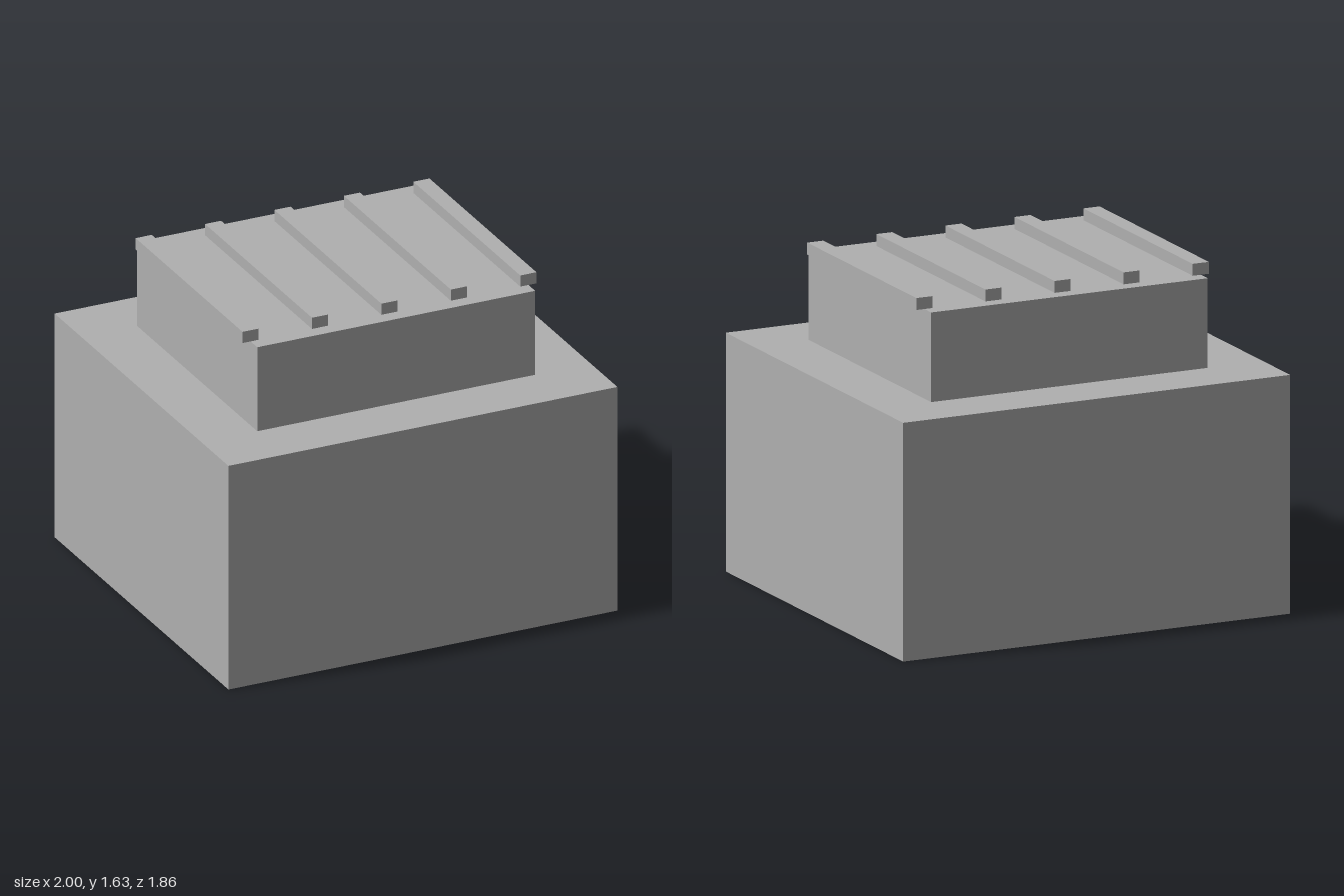
import * as THREE from 'three';

// Box shell without its underside, standing on y = 0
function openBox(width, height, depth) {
  const geometry = new THREE.BoxGeometry(width, height, depth).translate(0, height / 2, 0);
  const index = Array.from(geometry.index.array);
  index.splice(18, 6); // the fourth face pair is the underside
  geometry.setIndex(index);
  geometry.clearGroups();
  return geometry;
}

export function createModel() {
  const model = new THREE.Group();
  model.name = 'steppedBlock';

  const grey = new THREE.MeshStandardMaterial({ color: 0xb0b0b0, side: THREE.DoubleSide });
  grey.name = 'plain grey';

  const add = (name, width, height, depth, x, y) => {
    const mesh = new THREE.Mesh(openBox(width, height, depth), grey);
    mesh.name = name;
    mesh.position.set(x, y, 0);
    model.add(mesh);
  };

  // Wide hollow base and the smaller block on top
  add('base', 2, 1.143, 1.857, 0, 0);
  add('upperBlock', 1.429, 0.429, 1.286, 0, 1.143);

  // Five roof bars, the outer two overhanging the block
  for (let i = 0; i < 5; i++) {
    add(`roofBar${i + 1}`, 0.083, 0.057, 1.143, (i - 2) * 0.357, 1.572);
  }

  return model;
}
